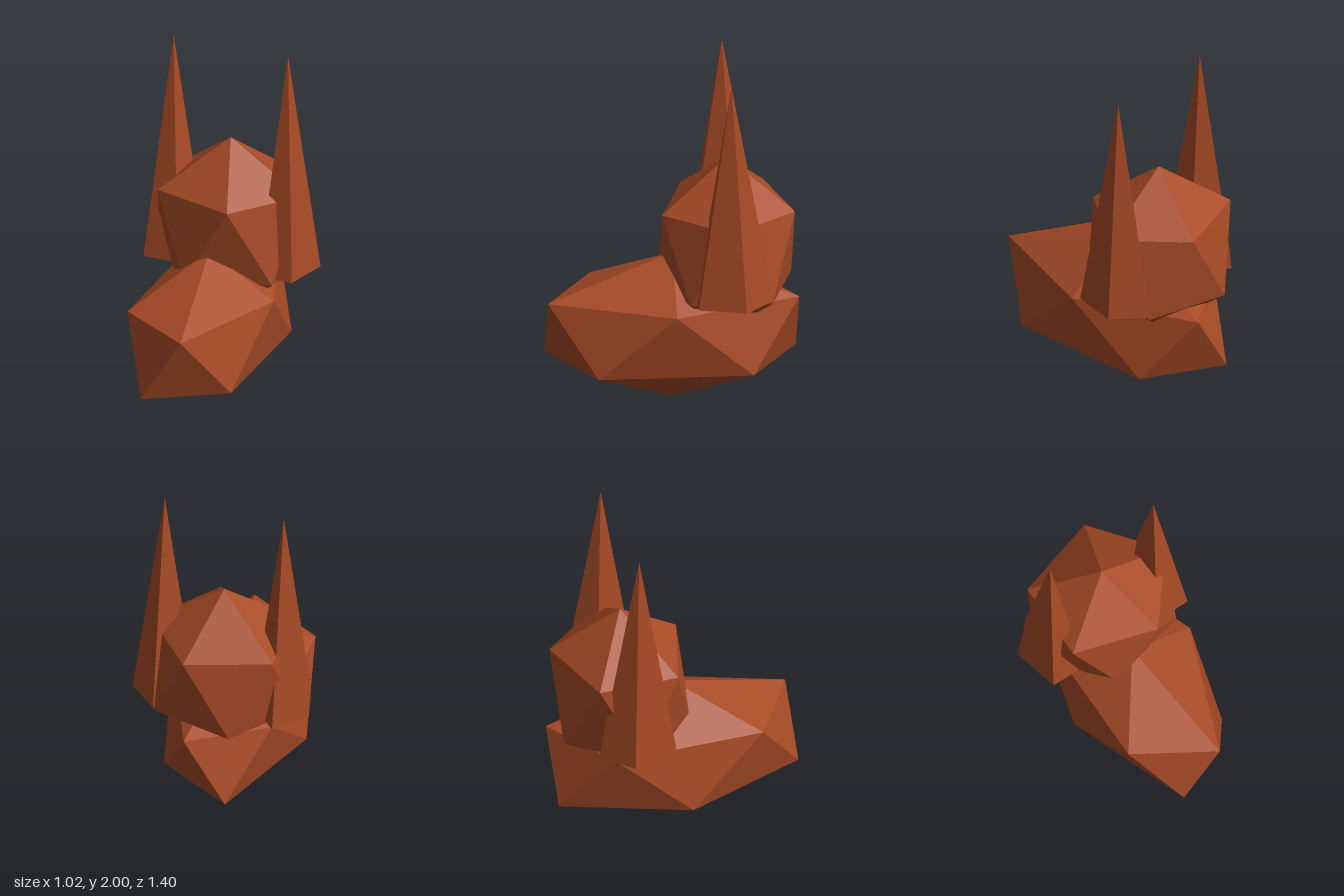
import * as THREE from 'three';
import { ConvexGeometry } from 'three/addons/geometries/ConvexGeometry.js';

// Pole-up icosahedron: two poles and two twisted rings of five corners
function poleIcosahedron(rx, ry, rz) {
  const h = 1 / Math.sqrt(5);
  const points = [new THREE.Vector3(0, ry, 0), new THREE.Vector3(0, -ry, 0)];
  for (let i = 0; i < 5; i++) {
    for (const [side, turn] of [[1, 0], [-1, 0.5]]) {
      const a = (i + turn) * Math.PI * 0.4;
      points.push(new THREE.Vector3(2 * h * Math.cos(a) * rx, side * h * ry, 2 * h * Math.sin(a) * rz));
    }
  }
  return new ConvexGeometry(points);
}

export function createModel() {
  const model = new THREE.Group();
  model.name = 'longEaredAnimal';

  const fur = new THREE.MeshStandardMaterial({ color: 0xa84b26, flatShading: true });
  fur.name = 'russetFur';

  function add(name, geometry, x, y, z) {
    const mesh = new THREE.Mesh(geometry, fur);
    mesh.name = name;
    mesh.position.set(x, y, z);
    model.add(mesh);
  }

  // Long, low body and the head above its rear half
  add('body', poleIcosahedron(0.432, 0.433, 0.823), 0, 0.433, 0);
  add('head', poleIcosahedron(0.476, 0.52, 0.435), 0, 0.913, -0.305);

  // Tall five-sided ears with one edge pointing back
  const ear = new THREE.ConeGeometry(1, 1.3, 5).rotateY(Math.PI).scale(0.174, 1, 0.235);
  add('leftEar', ear, 0.345, 1.35, -0.305);
  add('rightEar', ear, -0.345, 1.35, -0.305);

  return model;
}
